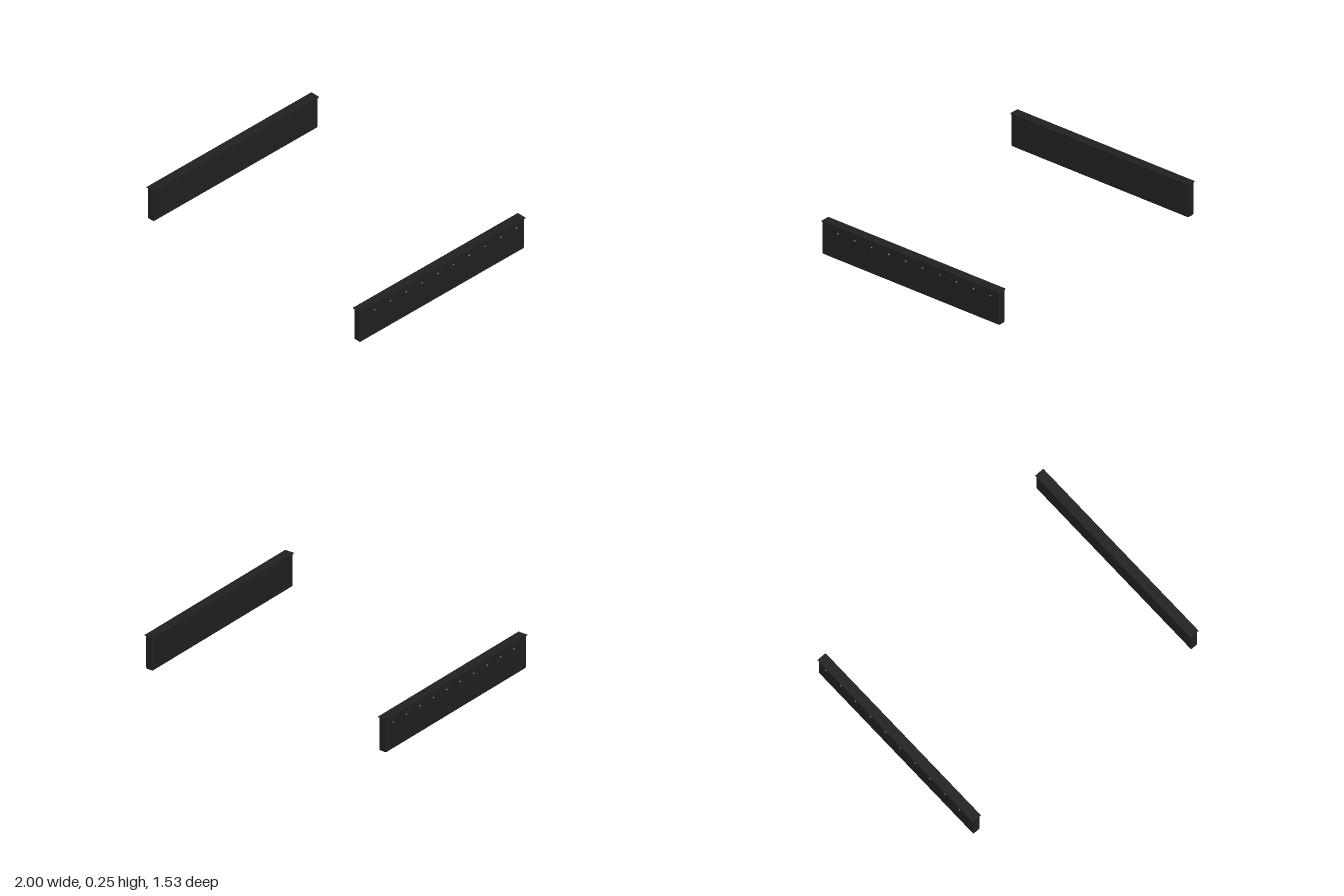
import * as THREE from 'three';
import { RoundedBoxGeometry } from 'three/addons/geometries/RoundedBoxGeometry.js';

const black = new THREE.MeshStandardMaterial({ color: 0x1e2022 });
const steel = new THREE.MeshStandardMaterial({ color: 0x9a9a9a });

const LENGTH = 1.524;
const BODY_WIDTH = 0.058;
const BODY_HEIGHT = 0.247;
const CAP_WIDTH = 0.072;
const CAP_THICKNESS = 0.006;
const SCREWS = 10;

// One side beam with its outer face towards side (+1 or -1) on x
function makeBeam(side) {
  const beam = new THREE.Group();
  beam.name = side > 0 ? 'leftBeam' : 'rightBeam';
  const x = side * 0.964;

  // Softly rounded panel
  const body = new THREE.Mesh(
    new RoundedBoxGeometry(BODY_WIDTH, BODY_HEIGHT, LENGTH, 3, 0.009), black);
  body.name = 'panel';
  body.position.set(x, BODY_HEIGHT / 2, 0);

  // Thin plate overhanging both faces of the panel
  const cap = new THREE.Mesh(
    new THREE.BoxGeometry(CAP_WIDTH, CAP_THICKNESS, LENGTH + 0.002), black);
  cap.name = 'topPlate';
  cap.position.set(x, 0.25 - CAP_THICKNESS / 2, 0);
  beam.add(body, cap);

  // Row of domed screw heads along the outer face
  const dome = new THREE.SphereGeometry(0.0055, 16, 6, 0, Math.PI * 2, 0, Math.PI / 2);
  for (let i = 0; i < SCREWS; i++) {
    const screw = new THREE.Mesh(dome, steel);
    screw.name = 'screwHead';
    screw.rotation.z = -side * Math.PI / 2;
    screw.position.set(x + side * BODY_WIDTH / 2, 0.198, 0.627 - i * 0.146);
    beam.add(screw);
  }
  return beam;
}

export function createModel() {
  const model = new THREE.Group();
  model.name = 'sideBeams';
  for (const side of [-1, 1]) model.add(makeBeam(side));
  return model;
}
